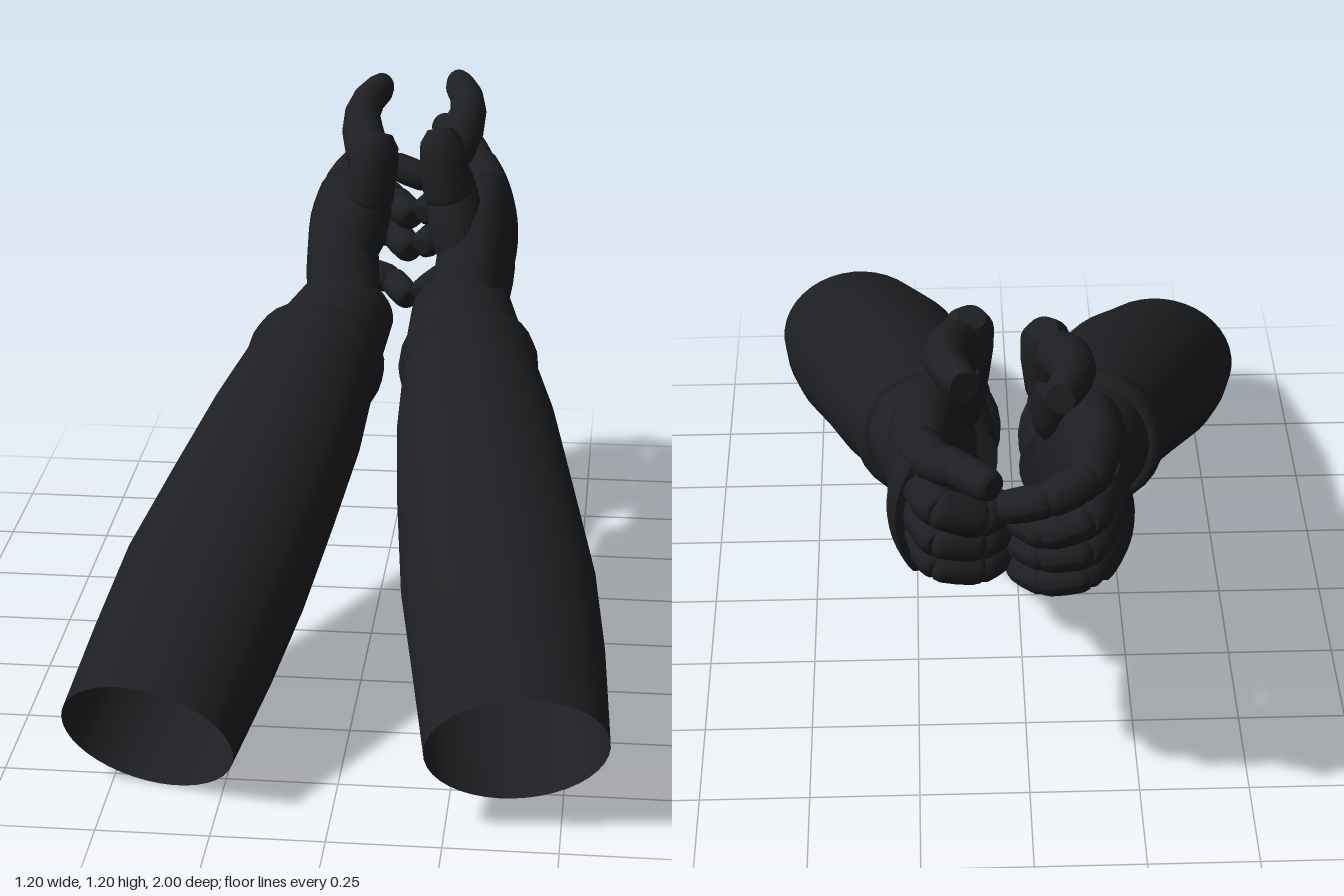
import * as THREE from 'three';

const material = new THREE.MeshStandardMaterial({ color: 0x1e1f22, side: THREE.DoubleSide });

// Skin elliptical rings [x, y, z, rx, ry] along a path; power < 1 squares the section off
function loft(name, rings, { sides = 28, caps = true, power = 1 } = {}) {
  const centres = rings.map(r => new THREE.Vector3(r[0], r[1], r[2]));
  const pos = [], index = [];
  const round = v => Math.sign(v) * Math.abs(v) ** power;
  const addRing = (i, k = 1) => {
    const t = centres[Math.min(i + 1, rings.length - 1)].clone().sub(centres[Math.max(i - 1, 0)]).normalize();
    const up = Math.abs(t.y) > 0.9 ? new THREE.Vector3(0, 0, 1) : new THREE.Vector3(0, 1, 0);
    const side = up.cross(t).normalize(), n = t.clone().cross(side);
    for (let j = 0; j <= sides; j++) {
      const a = (j % sides) / sides * Math.PI * 2;
      const p = centres[i].clone()
        .addScaledVector(side, round(Math.cos(a)) * rings[i][3] * k)
        .addScaledVector(n, round(Math.sin(a)) * rings[i][4] * k);
      pos.push(p.x, p.y, p.z);
    }
  };
  const stitch = first => {
    for (let j = 0; j < sides; j++) {
      const a = first + j, d = a + sides + 1;
      index.push(a, a + 1, d, a + 1, d + 1, d);
    }
  };
  const w = sides + 1, last = rings.length - 1;
  rings.forEach((_, i) => addRing(i));
  for (let i = 0; i < last; i++) stitch(i * w);
  if (caps) {
    for (const [inner, outer, i] of [[0, 1, 0], [1, 0, last]]) {
      const first = pos.length / 3;
      addRing(i, inner);
      addRing(i, outer);
      stitch(first);
    }
  }
  const g = new THREE.BufferGeometry();
  g.setAttribute('position', new THREE.Float32BufferAttribute(pos, 3));
  g.setIndex(index);
  g.computeVertexNormals();
  const mesh = new THREE.Mesh(g, material);
  mesh.name = name;
  return mesh;
}

// Padded digit: one rounded pad between each pair of joints
function digit(name, joints, r, taper = 0.92) {
  const group = new THREE.Group();
  group.name = name;
  const profile = [[-0.14, 0.5], [-0.06, 0.85], [0.1, 1], [0.5, 1.03], [0.88, 0.98], [1.04, 0.85], [1.1, 0.55]];
  for (let i = 0; i < joints.length - 1; i++) {
    const a = new THREE.Vector3(...joints[i]), b = new THREE.Vector3(...joints[i + 1]);
    const rad = r * taper ** i;
    group.add(loft(name + 'Pad', profile.map(([t, k]) => {
      const p = a.clone().lerp(b, t);
      return [p.x, p.y, p.z, rad * k, rad * k];
    }), { sides: 18 }));
  }
  return group;
}

// Short ring around the sleeve between two points
function band(name, a, b, rx, ry) {
  const at = (t, k) => [0, 1, 2].map(i => a[i] + (b[i] - a[i]) * t).concat(rx * k, ry * k);
  return loft(name, [at(0, 0.95), at(0.04, 1), at(0.5, 1.02), at(0.96, 0.98), at(1, 0.9)]);
}

// Curved guard over the knuckles
function knuckleGuard(place, s) {
  const g = new THREE.BoxGeometry(0.018, 0.31, 0.11, 1, 14, 6);
  const p = g.attributes.position;
  for (let i = 0; i < p.count; i++) {
    const y = p.getY(i), z = p.getZ(i);
    const bend = -1.5 * y * y - 6 * z * z;
    p.setXYZ(i, s * (p.getX(i) + bend), y, z * (1 - 6 * y * y) - 0.2 * y);
  }
  if (s < 0) {
    const ix = g.index.array;
    for (let i = 0; i < ix.length; i += 3) [ix[i], ix[i + 1]] = [ix[i + 1], ix[i]];
  }
  g.computeVertexNormals();
  const mesh = new THREE.Mesh(g, material);
  mesh.name = 'knuckleGuard';
  mesh.position.set(...place([0.298, 0.79, -0.735]));
  return mesh;
}

function hand(s, indexJoints) {
  const group = new THREE.Group();
  group.name = s > 0 ? 'leftHand' : 'rightHand';
  const place = ([x, y, z, ...rest]) => s > 0 ? [x, y, z, ...rest] : [0.085 - x, y - 0.02, z - 0.02, ...rest];
  const placed = list => list.map(place);

  group.add(loft('palm', placed([
    [0.19, 0.69, -0.36, 0.09, 0.09], [0.198, 0.73, -0.43, 0.09, 0.115],
    [0.21, 0.775, -0.51, 0.092, 0.165], [0.222, 0.805, -0.6, 0.085, 0.195],
    [0.228, 0.81, -0.67, 0.075, 0.18], [0.228, 0.81, -0.73, 0.055, 0.14],
  ]), { power: 0.8 }));
  group.add(loft('thumbMound', placed([
    [0.185, 0.8, -0.45, 0.05, 0.05], [0.165, 0.88, -0.48, 0.068, 0.068],
    [0.155, 0.95, -0.52, 0.068, 0.075], [0.15, 1.02, -0.56, 0.045, 0.05],
  ])));
  group.add(loft('thumbBase', placed([
    [0.145, 0.965, -0.5, 0.055, 0.055], [0.143, 0.975, -0.5, 0.062, 0.06],
    [0.13, 1.06, -0.505, 0.06, 0.058], [0.122, 1.11, -0.515, 0.052, 0.052],
    [0.118, 1.135, -0.525, 0.032, 0.032],
  ]), { sides: 20 }));
  group.add(loft('thumb', placed([
    [0.135, 1.06, -0.49, 0.035, 0.035], [0.15, 1.08, -0.54, 0.055, 0.052],
    [0.17, 1.11, -0.62, 0.052, 0.055], [0.178, 1.135, -0.69, 0.045, 0.046],
    [0.168, 1.152, -0.76, 0.042, 0.042], [0.148, 1.162, -0.82, 0.038, 0.04],
    [0.14, 1.165, -0.85, 0.03, 0.034],
  ]), { sides: 20 }));

  // Curled fingers: base, knuckle and tip heights, and reach
  const curled = [
    ['middleFinger', 0.87, 0.89, 0.83, -0.88, 0.047],
    ['ringFinger', 0.79, 0.79, 0.75, -0.85, 0.046],
    ['littleFinger', 0.71, 0.68, 0.64, -0.79, 0.042],
  ];
  for (const [name, base, mid, tip, reach, r] of curled) {
    group.add(digit(name, placed([
      [0.25, base, -0.69], [0.2, mid, reach], [0.11, tip + 0.02, reach + 0.01], [0.06, tip, reach + 0.09],
    ]), r));
  }
  group.add(digit('indexFinger', indexJoints, 0.046, 0.9));
  group.add(knuckleGuard(place, s));
  return group;
}

function arm(name, sleeve, bandEnds, cuff) {
  const group = new THREE.Group();
  group.name = name;
  group.add(loft('sleeve', sleeve, { sides: 40, caps: false }));
  group.add(loft('gloveCuff', cuff, { sides: 32 }));
  group.add(band('wristBand', ...bandEnds, 0.167, 0.157));
  return group;
}

export function createModel() {
  const model = new THREE.Group();
  model.name = 'glovedArms';

  const left = arm('leftArm', [
    [0.403, 0.21, 0.93, 0.2, 0.165], [0.37, 0.305, 0.7, 0.213, 0.18],
    [0.335, 0.39, 0.5, 0.219, 0.186], [0.29, 0.485, 0.25, 0.205, 0.177],
    [0.25, 0.57, 0, 0.188, 0.163], [0.222, 0.63, -0.17, 0.162, 0.152], [0.212, 0.65, -0.25, 0.15, 0.14],
  ], [[0.222, 0.627, -0.17], [0.21, 0.652, -0.245]], [
    [0.215, 0.645, -0.2, 0.148, 0.14], [0.2, 0.67, -0.3, 0.142, 0.13],
    [0.186, 0.695, -0.425, 0.126, 0.112],
  ]);
  left.add(hand(1, [[0.24, 0.93, -0.7], [0.2, 0.96, -0.82], [0.155, 1, -0.9], [0.092, 1.01, -0.98]]));

  const right = arm('rightArm', [
    [-0.408, 0.155, 0.85, 0.2, 0.165], [-0.36, 0.25, 0.64, 0.212, 0.178],
    [-0.315, 0.345, 0.45, 0.217, 0.184], [-0.257, 0.45, 0.22, 0.203, 0.176],
    [-0.205, 0.545, 0, 0.188, 0.163], [-0.168, 0.615, -0.18, 0.163, 0.152], [-0.153, 0.637, -0.27, 0.15, 0.14],
  ], [[-0.168, 0.61, -0.19], [-0.15, 0.637, -0.27]], [
    [-0.16, 0.625, -0.22, 0.148, 0.14], [-0.135, 0.65, -0.32, 0.14, 0.13],
    [-0.108, 0.68, -0.445, 0.124, 0.112],
  ]);
  right.add(hand(-1, [[-0.15, 0.92, -0.72], [-0.115, 0.94, -0.86], [-0.03, 0.92, -0.905], [0.06, 0.89, -0.885]]));

  model.add(left, right);
  return model;
}
